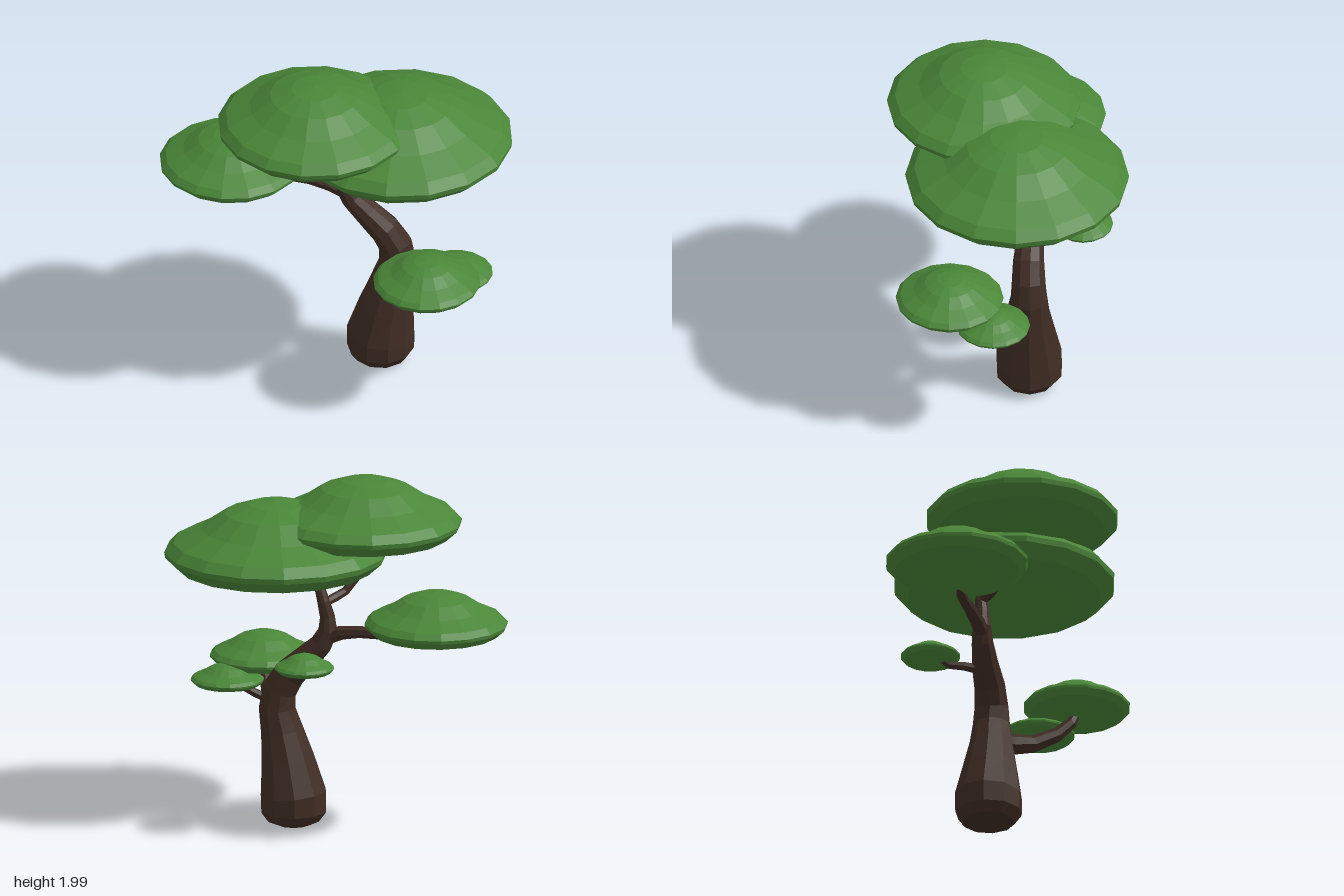
import * as THREE from 'three';

const bark = new THREE.MeshStandardMaterial({ color: 0x402d24, flatShading: true });
bark.name = 'darkBark';
const leaf = new THREE.MeshStandardMaterial({ color: 0x4a8638, flatShading: true });
leaf.name = 'leafGreen';

// Tapering limb swept through stations [x, y, z, radius]
function limb(name, stations, sides) {
  const pts = stations.map(s => new THREE.Vector3(s[0], s[1], s[2]));
  const pos = [], idx = [], last = pts.length - 1;
  const n = new THREE.Vector3(0, 0, 1);
  pts.forEach((p, i) => {
    const t = pts[Math.min(i + 1, last)].clone().sub(pts[Math.max(i - 1, 0)]).normalize();
    if (i === 0 && Math.abs(t.z) > 0.7) n.set(0, 1, 0);
    n.addScaledVector(t, -n.dot(t)).normalize();
    const b = new THREE.Vector3().crossVectors(t, n);
    for (let j = 0; j < sides; j++) {
      const a = (j + 0.5) / sides * Math.PI * 2;
      const v = p.clone()
        .addScaledVector(n, Math.cos(a) * stations[i][3])
        .addScaledVector(b, Math.sin(a) * stations[i][3]);
      pos.push(v.x, v.y, v.z);
    }
  });
  const start = pos.length / 3;
  pos.push(...pts[0].toArray(), ...pts[last].toArray());
  for (let j = 0; j < sides; j++) {
    const k = (j + 1) % sides;
    for (let i = 0; i < last; i++) {
      const r = i * sides, s = r + sides;
      idx.push(r + j, r + k, s + k, r + j, s + k, s + j);
    }
    idx.push(start, k, j, start + 1, last * sides + j, last * sides + k);
  }
  const g = new THREE.BufferGeometry();
  g.setAttribute('position', new THREE.Float32BufferAttribute(pos, 3));
  g.setIndex(idx);
  g.computeVertexNormals();
  const mesh = new THREE.Mesh(g, bark);
  mesh.name = name;
  return mesh;
}

// Leaf pad: unit profile (radius, height) turned into a 16-sided dome
const padProfile = [
  [0, 0], [0.55, 0.04], [0.87, 0.14], [0.99, 0.29], [1, 0.36], [0.92, 0.48],
  [0.67, 0.65], [0.46, 0.85], [0.24, 0.96], [0, 1],
].map(p => new THREE.Vector2(p[0], p[1]));

function pad(name, x, z, radius, bottom, top) {
  const g = new THREE.LatheGeometry(padProfile, 16);
  g.rotateY(Math.PI / 16);
  const r = radius * 1.015;
  g.scale(r, top - bottom, r);
  const mesh = new THREE.Mesh(g, leaf);
  mesh.position.set(x, bottom, z);
  mesh.name = name;
  return mesh;
}

export function createModel() {
  const tree = new THREE.Group();
  tree.name = 'bonsaiTree';

  // Curving trunk with a rounded foot
  tree.add(limb('trunk', [
    [0.15, 0.01, -0.155, 0.09], [0.15, 0.035, -0.155, 0.15], [0.15, 0.09, -0.155, 0.19],
    [0.15, 0.19, -0.155, 0.193], [0.18, 0.38, -0.17, 0.157], [0.21, 0.55, -0.19, 0.125],
    [0.23, 0.68, -0.21, 0.107], [0.22, 0.79, -0.20, 0.098], [0.17, 0.89, -0.165, 0.09],
    [0.08, 0.99, -0.115, 0.077], [0.01, 1.08, -0.065, 0.063], [-0.02, 1.16, -0.04, 0.055],
    [-0.015, 1.24, -0.04, 0.043], [-0.005, 1.33, -0.06, 0.036], [0.03, 1.45, -0.075, 0.027],
    [0.04, 1.53, -0.08, 0.02],
  ], 10));

  // Branches
  tree.add(
    limb('topForkBranch', [
      [-0.01, 1.32, -0.06, 0.025], [-0.015, 1.345, 0.02, 0.027], [-0.025, 1.37, 0.08, 0.025],
      [-0.045, 1.44, 0.14, 0.023], [-0.06, 1.53, 0.19, 0.018],
    ], 7),
    limb('rightUpperBranch', [
      [0.0, 1.11, -0.05, 0.04], [-0.09, 1.155, -0.005, 0.042], [-0.2, 1.175, 0.05, 0.036],
      [-0.33, 1.175, 0.12, 0.03], [-0.46, 1.2, 0.2, 0.022],
    ], 8),
    limb('leftLowerBranch', [
      [0.2, 0.56, -0.18, 0.06], [0.31, 0.565, -0.13, 0.06], [0.43, 0.59, -0.08, 0.05],
      [0.56, 0.67, -0.015, 0.042], [0.63, 0.75, 0.025, 0.035], [0.67, 0.83, 0.035, 0.025],
    ], 8),
    limb('leftLowerFork', [
      [0.51, 0.64, -0.04, 0.025], [0.56, 0.675, -0.1, 0.025], [0.6, 0.71, -0.15, 0.022],
      [0.62, 0.77, -0.2, 0.016],
    ], 7),
    limb('smallBackBranch', [
      [0.08, 0.95, -0.13, 0.028], [-0.01, 0.965, -0.19, 0.025], [-0.08, 0.965, -0.24, 0.022],
      [-0.13, 1.02, -0.29, 0.016],
    ], 7),
  );

  // Leaf pads
  tree.add(
    pad('topFrontLeaves', 0.01, 0.25, 0.54, 1.61, 2.0),
    pad('topBackLeaves', 0.292, -0.17, 0.623, 1.42, 1.875),
    pad('rightLeaves', -0.57, 0.305, 0.4, 1.165, 1.45),
    pad('leftLeaves', 0.667, 0.035, 0.3, 0.785, 1.0),
    pad('smallBackLeaves', -0.155, -0.315, 0.167, 0.975, 1.1),
    pad('smallLeftLeaves', 0.64, -0.245, 0.205, 0.72, 0.86),
  );
  return tree;
}
